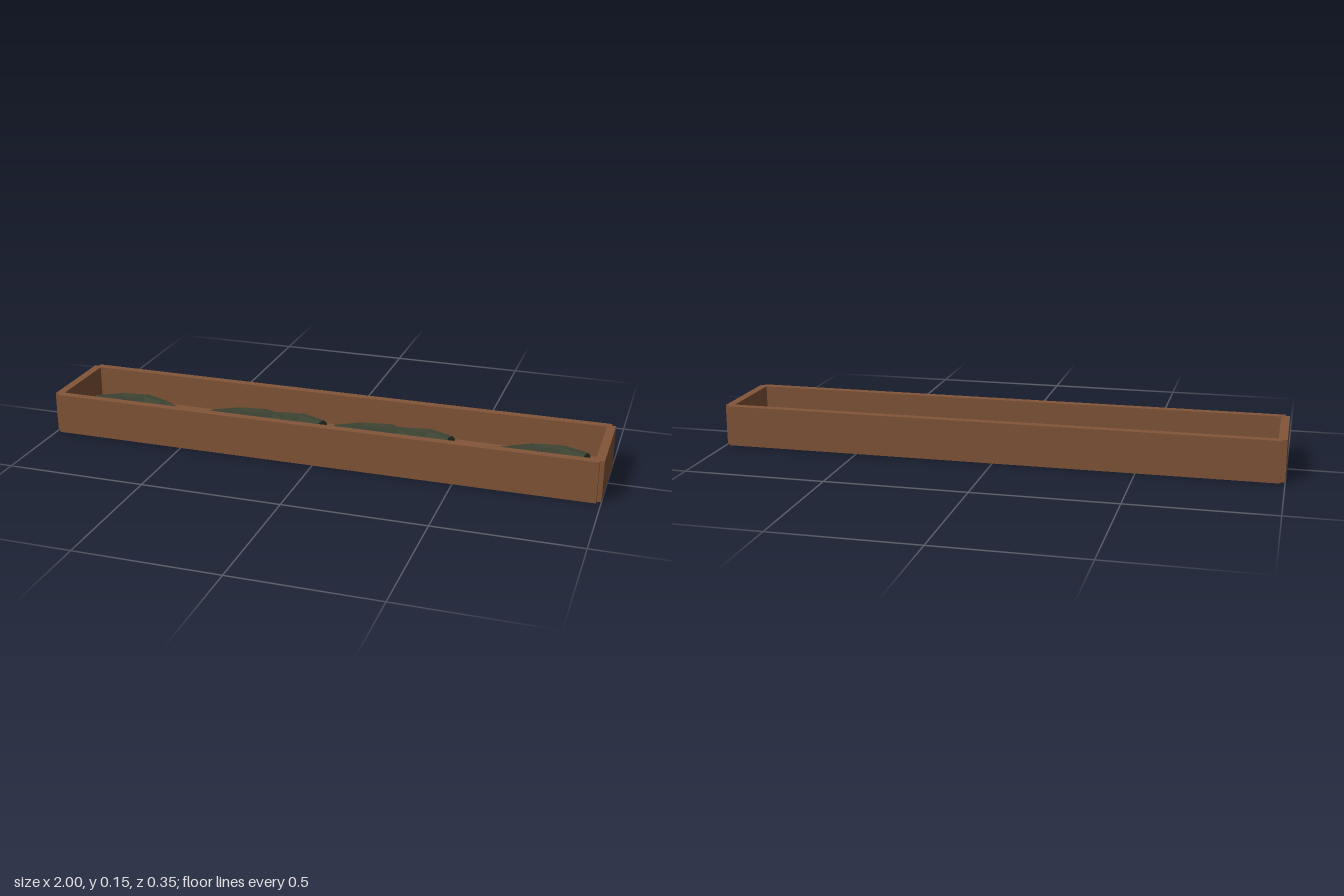
import * as THREE from 'three';

const wood = new THREE.MeshStandardMaterial({ color: 0x825538, flatShading: true });
wood.name = 'brown wood';
const moss = new THREE.MeshStandardMaterial({ color: 0x3c4232, flatShading: true });
moss.name = 'dark green';

const LENGTH = 1.97, WIDTH = 0.316, HEIGHT = 0.147, WALL = 0.03;

function add(parent, name, geometry, material, x, y, z) {
  const mesh = new THREE.Mesh(geometry, material);
  mesh.name = name;
  mesh.position.set(x, y, z);
  parent.add(mesh);
  return mesh;
}

// Straight faceted rod between two points
function addRod(parent, a, b, radius) {
  const dir = b.clone().sub(a);
  const mid = a.clone().add(b).multiplyScalar(0.5);
  const geometry = new THREE.CylinderGeometry(radius, radius, dir.length(), 8);
  const rod = add(parent, 'strandSegment', geometry, moss, mid.x, mid.y, mid.z);
  rod.quaternion.setFromUnitVectors(new THREE.Vector3(0, 1, 0), dir.normalize());
}

export function createModel() {
  const model = new THREE.Group();
  model.name = 'tray';

  // Open box: floor, long walls and end walls with small corner notches
  add(model, 'floor', new THREE.BoxGeometry(LENGTH - WALL, WALL, WIDTH - WALL), wood, 0, WALL / 2, 0);
  for (const s of [-1, 1]) {
    add(model, s > 0 ? 'frontWall' : 'backWall',
      new THREE.BoxGeometry(LENGTH, HEIGHT, WALL), wood, 0, HEIGHT / 2, s * WIDTH / 2);
    add(model, s > 0 ? 'leftWall' : 'rightWall',
      new THREE.BoxGeometry(WALL, HEIGHT, WIDTH), wood, s * LENGTH / 2, HEIGHT / 2, 0);
  }

  // Three overlapping wavy strands of ten straight segments each
  for (let k = 0; k < 3; k++) {
    const strand = new THREE.Group();
    strand.name = 'wavyStrand';
    const point = i => new THREE.Vector3(-0.92 + k * 0.475 + i * 0.089, 0.058, -0.069 * Math.sin(0.9 * i));
    for (let i = 0; i < 10; i++) addRod(strand, point(i), point(i + 1), 0.03);
    model.add(strand);
  }

  // Small pebbles on the floor
  const pebbles = [
    [-0.925, 0.013, 0.008], [-0.45, 0.015, 0.008], [0.02, 0.015, 0.008],
    [-0.265, 0.062, 0.012], [-0.095, 0.058, 0.012], [0.152, 0.067, 0.012],
  ];
  for (const [x, z, r] of pebbles) {
    add(model, 'pebble', new THREE.SphereGeometry(r, 8, 6), wood, x, WALL + r * 0.8, z);
  }
  return model;
}
